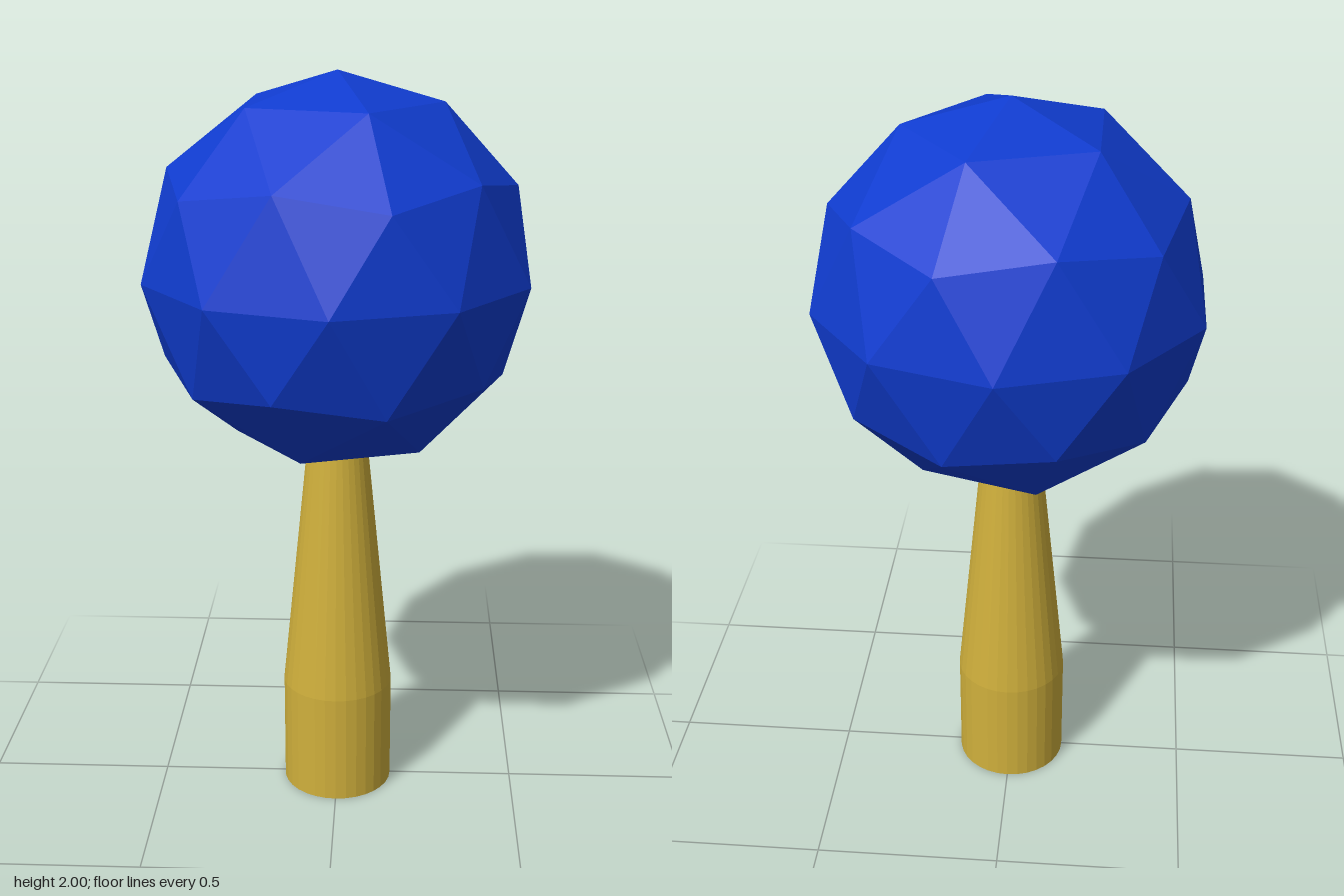
import * as THREE from 'three';

export function createModel() {
  const model = new THREE.Group();

  // Faceted ball: subdivided icosahedron standing on one of its corners
  const R = 0.515;
  const ballGeo = new THREE.IcosahedronGeometry(R, 1);
  ballGeo.rotateZ(-Math.atan(2 / (1 + Math.sqrt(5))));
  const ball = new THREE.Mesh(
    ballGeo,
    new THREE.MeshStandardMaterial({ color: 0x103cd0, flatShading: true })
  );
  ball.name = 'ball';
  ball.position.y = 2 - R;
  model.add(ball);

  // Handle: straight grip, then a taper that ends inside the ball
  const profile = [[0, 0], [0.152, 0], [0.152, 0.31], [0.08, 1.03], [0, 1.03]]
    .map(([r, y]) => new THREE.Vector2(r, y));
  const handle = new THREE.Mesh(
    new THREE.LatheGeometry(profile, 32),
    new THREE.MeshStandardMaterial({ color: 0xd0b03c, flatShading: true })
  );
  handle.name = 'handle';
  model.add(handle);

  return model;
}
